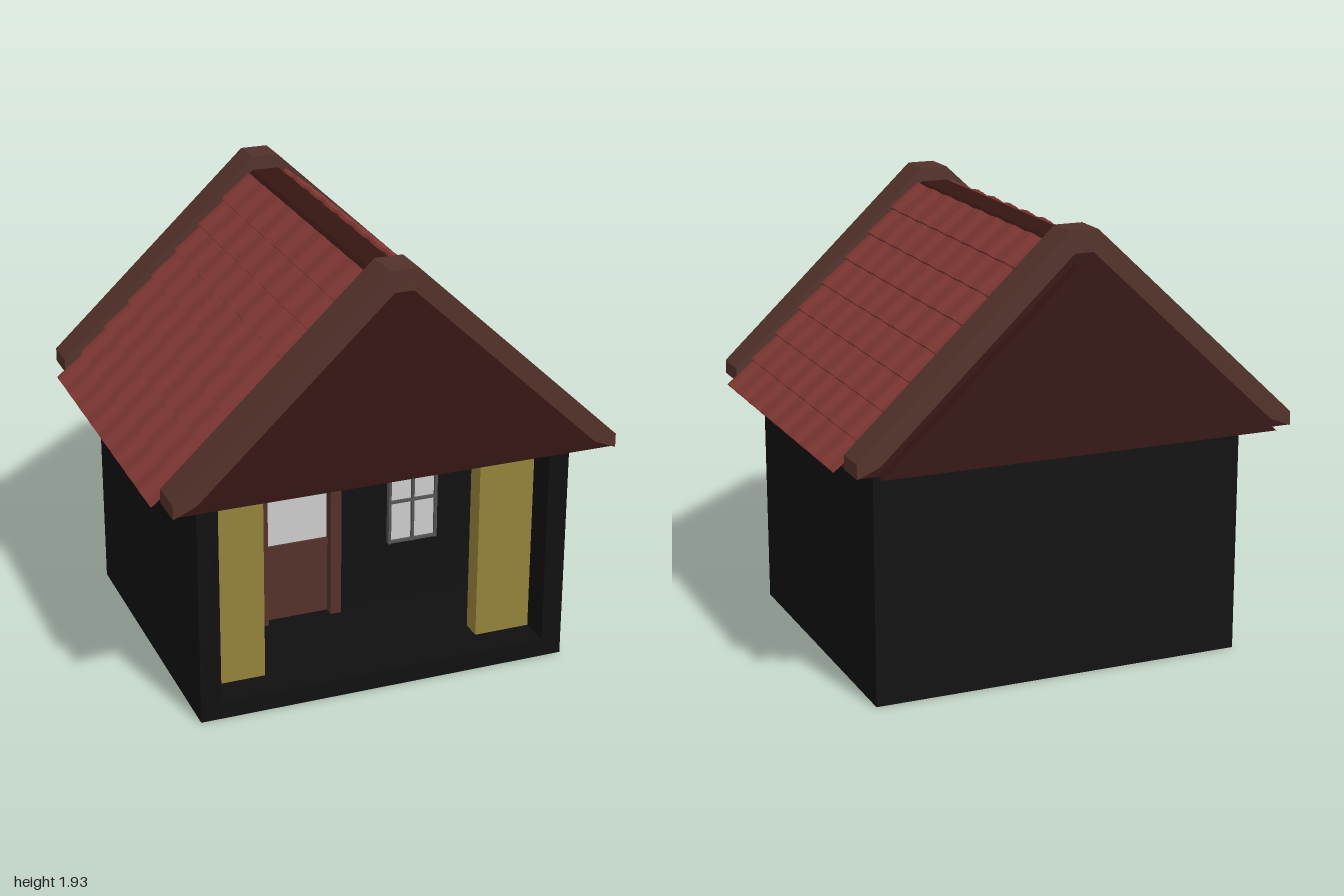
import * as THREE from 'three';
import { mergeGeometries } from 'three/addons/utils/BufferGeometryUtils.js';

const paint = (color) => new THREE.MeshStandardMaterial({ color });
const MAT = {
  wall: paint(0x101010),
  column: paint(0x93833a),
  wood: paint(0x53312a),
  darkWood: paint(0x351512),
  tile: paint(0x813834),
  frame: paint(0x555555),
  glass: paint(0xcccccc),
};

export function createModel() {
  const house = new THREE.Group();
  house.name = 'house';

  const add = (name, geometry, material, parent = house) => {
    const mesh = new THREE.Mesh(geometry, material);
    mesh.name = name;
    parent.add(mesh);
    return mesh;
  };
  // Box given by its limits on each axis
  const box = (name, material, [x0, x1], [y0, y1], [z0, z1], parent) => {
    const mesh = add(name, new THREE.BoxGeometry(x1 - x0, y1 - y0, z1 - z0), material, parent);
    mesh.position.set((x0 + x1) / 2, (y0 + y1) / 2, (z0 + z1) / 2);
    return mesh;
  };
  // Symmetric outline: right-hand points are mirrored to the left, then extruded from z0 to z1
  const slab = (name, material, right, z0, z1) => {
    const left = right.map(([x, y]) => [-x, y]).reverse();
    const shape = new THREE.Shape([...right, ...left].map(([x, y]) => new THREE.Vector2(x, y)));
    const geometry = new THREE.ExtrudeGeometry(shape, { depth: z1 - z0, bevelEnabled: false });
    return add(name, geometry.translate(0, 0, z0), material);
  };

  // Body: closed room behind an open porch
  const porchZ = 0.13;
  box('room', MAT.wall, [-0.81, 0.83], [0, 1.03], [-0.68, porchZ]);
  box('porchFloor', MAT.wall, [-0.81, 0.83], [0, 0.08], [porchZ, 0.73]);
  box('porchWallRight', MAT.wall, [-0.81, -0.72], [0.08, 1.03], [porchZ, 0.73]);
  box('porchWallLeft', MAT.wall, [0.74, 0.83], [0.08, 1.03], [porchZ, 0.73]);
  box('columnRight', MAT.column, [-0.72, -0.48], [0.08, 1.03], [0.5, 0.59]);
  box('columnLeft', MAT.column, [0.49, 0.74], [0.08, 1.03], [0.5, 0.59]);

  // Door with a raised frame, lower panel, rail and glass
  const door = new THREE.Group();
  door.name = 'door';
  house.add(door);
  box('doorJambRight', MAT.wood, [-0.37, -0.32], [0.08, 0.82], [porchZ, 0.19], door);
  box('doorJambLeft', MAT.wood, [-0.03, 0.02], [0.08, 0.82], [porchZ, 0.19], door);
  box('doorHead', MAT.wood, [-0.32, -0.03], [0.77, 0.82], [porchZ, 0.19], door);
  box('doorPanel', MAT.wood, [-0.32, -0.03], [0.08, 0.405], [porchZ, 0.145], door);
  box('doorRail', MAT.wood, [-0.32, -0.03], [0.405, 0.44], [porchZ, 0.155], door);
  box('doorGlass', MAT.glass, [-0.32, -0.03], [0.44, 0.77], [porchZ, 0.14], door);

  // Four-pane window
  const win = new THREE.Group();
  win.name = 'window';
  house.add(win);
  box('windowGlass', MAT.glass, [0.26, 0.49], [0.36, 0.75], [porchZ, 0.14], win);
  for (const x of [0.265, 0.375, 0.485]) {
    box('windowUpright', MAT.frame, [x - 0.006, x + 0.006], [0.355, 0.755], [porchZ, 0.155], win);
  }
  for (const y of [0.362, 0.555, 0.748]) {
    box('windowBar', MAT.frame, [0.26, 0.49], [y - 0.006, y + 0.006], [porchZ, 0.153], win);
  }

  // Roof core, gable boards and barge boards
  slab('roofCore', MAT.darkWood, [[0.95, 1.03], [0.06, 1.87]], -0.84, 0.74);
  slab('frontGable', MAT.darkWood, [[0.945, 1.03], [0.86, 1.08], [0.04, 1.85]], 0.73, 0.88);
  slab('backGable', MAT.darkWood, [[0.865, 1.03], [0.04, 1.8]], -0.895, -0.84);
  const barge = [[0.955, 1.03], [0.955, 1.09], [0.06, 1.93]];
  const inner = [[0.04, 1.84], [0.86, 1.07]];
  for (const [name, z0, z1] of [['frontBargeBoard', 0.73, 0.895], ['backBargeBoard', -0.85, -0.7]]) {
    const left = (pts) => pts.map(([x, y]) => [-x, y]).reverse();
    const outline = [...barge, ...left(barge), ...left(inner), ...inner];
    const shape = new THREE.Shape(outline.map(([x, y]) => new THREE.Vector2(x, y)));
    const geometry = new THREE.ExtrudeGeometry(shape, { depth: z1 - z0, bevelEnabled: false });
    add(name, geometry.translate(0, 0, z0), MAT.wood);
  }

  // One wavy roof tile, running down the slope along its local z
  const rows = 8, cols = 8, rowStep = 0.154, colStep = 0.176, thick = 0.014;
  const wave = [];
  for (let i = 0; i <= 8; i++) {
    const u = i / 8;
    wave.push(new THREE.Vector2((u - 0.5) * (colStep + 0.002), 0.006 * Math.sin(u * Math.PI * 2) + 0.005 * u));
  }
  const top = wave.map((p) => new THREE.Vector2(p.x, p.y + thick)).reverse();
  const tile = new THREE.ExtrudeGeometry(new THREE.Shape([...wave, ...top]), {
    depth: rowStep + 0.012, bevelEnabled: false,
  });
  tile.translate(0, 0, -0.012).rotateX(-0.09);

  // Lay the tiles over one slope, then turn the same slope round for the other side
  const slope = Math.atan(0.944);
  const down = new THREE.Vector3(Math.cos(slope), -Math.sin(slope), 0);
  const normal = new THREE.Vector3(Math.sin(slope), Math.cos(slope), 0);
  const basis = new THREE.Matrix4().makeBasis(new THREE.Vector3(0, 0, -1), normal, down);
  const tiles = [];
  for (let r = 0; r < rows; r++) {
    for (let c = 0; c < cols; c++) {
      const at = new THREE.Vector3(0.085, 1.847, (c - (cols - 1) / 2) * colStep).addScaledVector(down, r * rowStep);
      tiles.push(tile.clone().applyMatrix4(basis.clone().setPosition(at)));
    }
  }
  const slopeTiles = mergeGeometries(tiles);
  for (const [name, turn] of [['roofTilesLeft', 0], ['roofTilesRight', Math.PI]]) {
    const side = add(name, slopeTiles, MAT.tile);
    side.rotation.y = turn;
    side.position.z = 0.025;
  }
  return house;
}
